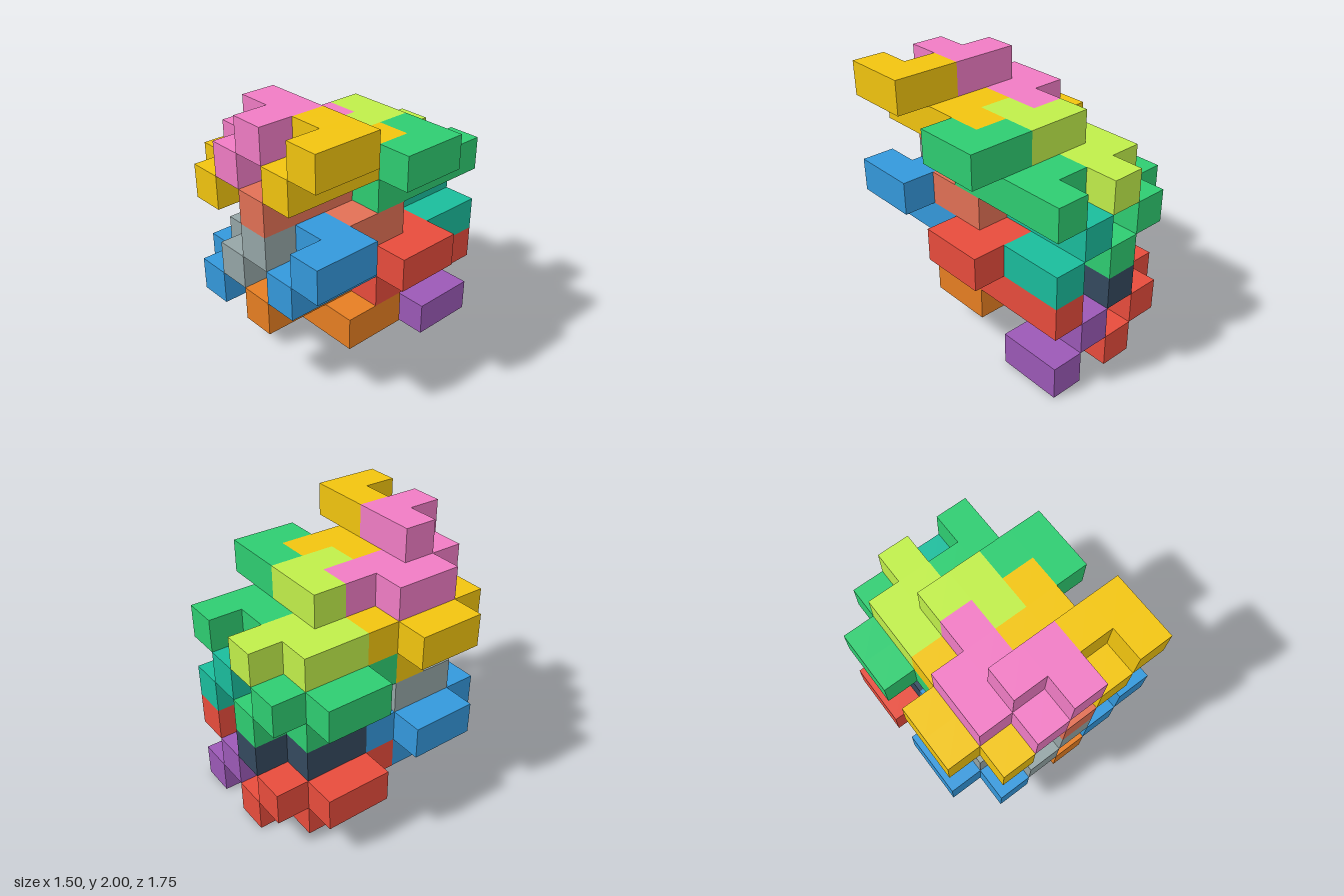
import * as THREE from 'three';
import { mergeGeometries } from 'three/addons/utils/BufferGeometryUtils.js';

const CELL = 0.25;

// Two interlocking block shapes, as [column, layer, row] cells.
const hookUp = [
  [2, 7, 5], [3, 7, 5], [3, 7, 6],
  [2, 6, 3], [2, 6, 4], [1, 6, 4], [1, 6, 5], [2, 6, 5], [2, 6, 6],
];
const hookDown = [
  [1, 5, 3], [1, 5, 4], [0, 5, 4], [0, 5, 5], [1, 5, 5], [1, 5, 6],
  [1, 4, 4], [2, 4, 4], [2, 4, 3],
];

// Outward directions with the rotation that turns a +z plane to face them.
const sides = [
  [[0, 0, 1], [0, 0]], [[0, 0, -1], [0, Math.PI]],
  [[1, 0, 0], [0, Math.PI / 2]], [[-1, 0, 0], [0, -Math.PI / 2]],
  [[0, 1, 0], [-Math.PI / 2, 0]], [[0, -1, 0], [Math.PI / 2, 0]],
];

// Skin of one block: a square on every cell side without a neighbour.
function blockGeometry(cells) {
  const filled = new Set(cells.map(String));
  const squares = [];
  for (const [i, j, k] of cells) {
    for (const [[dx, dy, dz], [rx, ry]] of sides) {
      if (filled.has(String([i + dx, j + dy, k + dz]))) continue;
      squares.push(new THREE.PlaneGeometry(CELL, CELL)
        .rotateX(rx).rotateY(ry)
        .translate(
          (i - 2.5 + dx / 2) * CELL,
          (j + 0.5 + dy / 2) * CELL,
          (k - 3 + dz / 2) * CELL));
    }
  }
  return mergeGeometries(squares);
}

// Colours for the upper and lower tier of each block.
const yellow = [0xf1c40f, 0x3498db];
const green = [0x2ecc71, 0xe74c3c];
const blocks = [
  // name, shape, step sideways, step backwards, [upper, lower] colour
  ['frontRightHook', hookUp, 0, 0, [0xf07cc4, 0x95a5a6]],
  ['frontLeftHook', hookUp, 1, 0, yellow],
  ['backRightHook', hookUp, 0, 1, [0xc0ee4a, 0x34495e]],
  ['backLeftHook', hookUp, 1, 1, green],
  ['frontRightBase', hookDown, 0, 0, yellow],
  ['frontLeftBase', hookDown, 1, 0, [0xe17055, 0xe67e22]],
  ['backRightBase', hookDown, 0, 1, green],
  ['backLeftBase', hookDown, 1, 1, [0x1abc9c, 0x9b59b6]],
];

export function createModel() {
  const model = new THREE.Group();
  model.name = 'interlockingBlocks';
  // The lower tier repeats the upper one three layers down.
  ['upper', 'lower'].forEach((tierName, t) => {
    const tier = new THREE.Group();
    tier.name = tierName + 'Tier';
    for (const [name, shape, side, back, colors] of blocks) {
      const cells = shape.map(([i, j, k]) => [i + 2 * side, j - back - 3 * t, k - 3 * back]);
      const material = new THREE.MeshStandardMaterial({ color: colors[t] });
      const mesh = new THREE.Mesh(blockGeometry(cells), material);
      mesh.name = name;
      tier.add(mesh);
    }
    model.add(tier);
  });
  return model;
}
